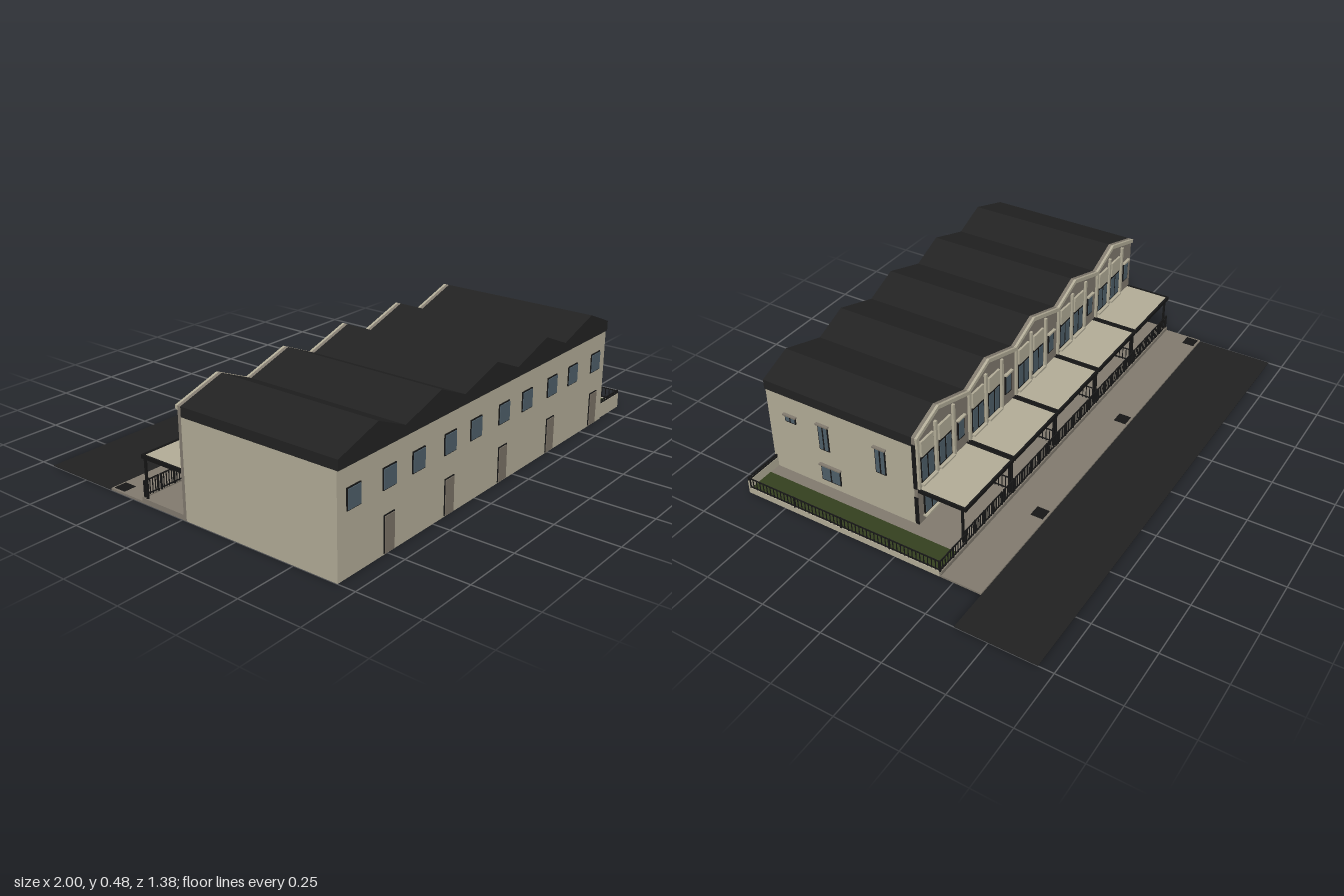
import * as THREE from 'three';

const mat = (name, color, side = THREE.FrontSide) => {
  const m = new THREE.MeshStandardMaterial({ color, side });
  m.name = name;
  return m;
};

export function createModel() {
  const model = new THREE.Group();
  model.name = 'terraceHouses';
  const wall = mat('beigeWall', 0xb3ad98);
  const dark = mat('darkRoof', 0x222222);
  const road = mat('asphalt', 0x212121, THREE.DoubleSide);
  const stone = mat('greyStone', 0x827b6f);
  const glass = mat('slateGlass', 0x4f606a);
  const black = mat('blackMetal', 0x161616);
  const grass = mat('grass', 0x35401f);
  const door = mat('doorBrown', 0x7a7266);

  // Box given by its limits on each axis
  const box = (name, m, x0, x1, y0, y1, z0, z1, parent = model) => {
    const mesh = new THREE.Mesh(new THREE.BoxGeometry(x1 - x0, y1 - y0, z1 - z0), m);
    mesh.position.set((x0 + x1) / 2, (y0 + y1) / 2, (z0 + z1) / 2);
    mesh.name = name;
    parent.add(mesh);
    return mesh;
  };
  const group = (name) => {
    const g = new THREE.Group();
    g.name = name;
    model.add(g);
    return g;
  };

  const UNITS = 5, W = 0.333, L = -1, R = 0.665;
  const unitX = (i) => L + i * W;

  // Zigzag roof line, with the ridge a little off the middle of each house
  const roofLine = [];
  for (let i = 0; i < UNITS; i++) {
    roofLine.push([unitX(i), 0.418], [unitX(i) + 0.193, 0.478]);
  }
  roofLine.push([R, 0.42]);
  const gableSlab = (name, m, lower, z0, z1) => {
    const pts = [...roofLine, ...lower].map(([x, y]) => new THREE.Vector2(x, y));
    const geo = new THREE.ExtrudeGeometry(new THREE.Shape(pts), { depth: z1 - z0, bevelEnabled: false });
    const mesh = new THREE.Mesh(geo, m);
    mesh.position.z = z0;
    mesh.name = name;
    model.add(mesh);
  };

  // Main volume and roof
  box('houseBody', wall, L, R, 0, 0.38, 0.02, 0.68);
  gableSlab('roof', dark, [[R, 0.38], [L, 0.38]], 0.02, 0.686);
  gableSlab('streetFacade', stone, [[R, 0.02], [L, 0.02]], 0.006, 0.02);
  gableSlab('gableTrim', wall, roofLine.map(([x, y]) => [x, y - 0.016]).reverse(), -0.004, 0.006);
  box('facadeEndPanel', black, R, R + 0.003, 0.19, 0.39, 0.004, 0.02);
  box('facadeEndPanelLower', black, R, R + 0.003, 0.025, 0.15, 0.004, 0.02);

  // Ground surfaces
  box('road', road, -1, 1, 0, 0.002, -0.69, -0.365);
  box('pavement', stone, -1, 0.83, 0, 0.008, -0.365, -0.2);
  box('terrace', stone, -1, 0.715, 0, 0.02, -0.2, 0.02);
  box('sidePath', stone, R, 0.715, 0, 0.02, 0.02, 0.67);
  box('lawn', grass, 0.715, 0.824, 0, 0.022, -0.19, 0.67);
  box('gardenKerb', wall, 0.824, 0.83, 0, 0.025, -0.2, 0.672);
  box('gardenEndWall', wall, R, 0.83, 0, 0.06, 0.667, 0.675);
  box('terraceKerb', stone, -1, 0.83, 0, 0.024, -0.2, -0.192);
  for (const x of [-0.965, -0.3, 0.37]) {
    box('treePit', black, x - 0.026, x + 0.026, -0.0005, 0.0095, -0.357, -0.305);
  }

  // Rear doors and square windows
  const rear = group('rearOpenings');
  for (let i = 0; i < UNITS; i++) {
    const x = -0.744 + i * W;
    box('rearDoorFrame', black, x - 0.027, x + 0.027, 0.005, 0.142, 0.678, 0.683, rear);
    box('rearDoor', door, x - 0.024, x + 0.024, 0.006, 0.138, 0.679, 0.686, rear);
    for (const wx of [x, -0.922 + i * W]) {
      box('rearWindowFrame', black, wx - 0.034, wx + 0.034, 0.23, 0.308, 0.678, 0.684, rear);
      box('rearWindow', glass, wx - 0.031, wx + 0.031, 0.234, 0.304, 0.679, 0.687, rear);
    }
  }

  // Garden-side windows: z centre, width, bottom, top, panes
  const side = group('sideWindows');
  for (const [z, w, y0, y1, n] of [
    [0.42, 0.046, 0.197, 0.312, 2], [0.162, 0.046, 0.197, 0.312, 2],
    [0.573, 0.05, 0.266, 0.296, 2], [0.402, 0.09, 0.05, 0.122, 2]]) {
    box('sideFrame', black, R - 0.002, R + 0.004, y0, y1, z - w / 2, z + w / 2, side);
    box('sideLintel', stone, R - 0.002, R + 0.012, y1, y1 + 0.006, z - w / 2 - 0.005, z + w / 2 + 0.005, side);
    const p = w / n;
    for (let k = 0; k < n; k++) {
      const a = z - w / 2 + k * p;
      box('sidePane', glass, R, R + 0.006, y0 + 0.005, y1 - 0.005, a + 0.004, a + p - 0.004, side);
    }
  }

  // Street window: dark frame, panes and optional pale panel above
  const street = group('streetOpenings');
  const streetWindow = (x, w, y0, y1, n) => {
    box('streetFrame', black, x - w / 2, x + w / 2, y0, y1, 0.001, 0.008, street);
    const p = w / n;
    for (let k = 0; k < n; k++) {
      const a = x - w / 2 + k * p;
      box('streetPane', glass, a + 0.005, a + p - 0.005, y0 + 0.006, y1 - 0.006, -0.001, 0.006, street);
    }
  };
  for (let i = 0; i < UNITS; i++) {
    const x = unitX(i);
    // Upper bays with pale panels and piers
    for (const bx of [x + 0.155, x + 0.268]) {
      streetWindow(bx, 0.082, 0.205, 0.315, 2);
      box('bayPanel', wall, bx - 0.038, bx + 0.038, 0.322, 0.388, -0.003, 0.008, street);
      box('baySill', wall, bx - 0.045, bx + 0.045, 0.196, 0.204, -0.012, 0.008, street);
    }
    for (const px of [x + 0.098, x + 0.2115, x + 0.325]) {
      box('bayPier', wall, px - 0.006, px + 0.006, 0.19, 0.42, -0.004, 0.008, street);
    }
    // Narrow window, ground-floor window and front door
    streetWindow(x + 0.05, 0.042, 0.235, 0.325, 1);
    box('narrowLintel', wall, x + 0.024, x + 0.076, 0.325, 0.332, -0.006, 0.008, street);
    streetWindow(x + 0.21, 0.18, 0.05, 0.15, 4);
    box('groundSill', wall, x + 0.115, x + 0.305, 0.042, 0.05, -0.01, 0.008, street);
    box('frontDoorFrame', black, x + 0.022, x + 0.078, 0.02, 0.152, 0.001, 0.008, street);
    box('frontDoor', door, x + 0.027, x + 0.073, 0.02, 0.147, -0.001, 0.006, street);
  }

  // Canopies on posts over the terrace
  const canopy = group('canopies');
  for (let i = 0; i < UNITS; i++) {
    const a = unitX(i) + 0.004, b = unitX(i) + W - 0.004;
    box('canopyPanel', wall, a + 0.008, b - 0.008, 0.172, 0.182, -0.188, 0.006, canopy);
    box('canopyFrontBeam', black, a, b, 0.17, 0.185, -0.197, -0.188, canopy);
    for (const e of [a, b - 0.008]) {
      box('canopySideBeam', black, e, e + 0.008, 0.17, 0.185, -0.188, 0.006, canopy);
      box('canopyPost', black, e, e + 0.008, 0.02, 0.17, -0.184, -0.176, canopy);
    }
  }

  // Railings between two points, with bars, rails and thicker posts
  const fence = (name, x0, z0, x1, z1, y0, y1, step, postEvery) => {
    const g = group(name);
    const len = Math.hypot(x1 - x0, z1 - z0);
    g.position.set(x0, 0, z0);
    g.rotation.y = Math.atan2(z0 - z1, x1 - x0);
    const n = Math.round(len / step);
    for (const y of [y0 + 0.002, y1 - 0.004]) box('rail', black, 0, len, y, y + 0.004, -0.002, 0.002, g);
    for (let k = 0; k <= n; k++) {
      const t = (len * k) / n, h = k % postEvery === 0 ? 0.003 : 0.0014;
      box('bar', black, t - h, t + h, y0 - 0.003, y1, -h, h, g);
    }
  };
  fence('gardenFence', 0.827, 0.668, 0.827, -0.192, 0.026, 0.072, 0.0165, 13);
  fence('gardenStreetFence', R, -0.195, 0.827, -0.195, 0.026, 0.072, 0.0165, 5);
  fence('gardenEndFence', R + 0.004, 0.671, 0.827, 0.671, 0.058, 0.075, 0.0165, 10);
  for (let i = 0; i < UNITS; i++) {
    // Gate gap beside each front door
    fence('terraceFence', unitX(i) + 0.085, -0.194, unitX(i) + W - 0.004, -0.194, 0.026, 0.085, 0.0125, 5);
    fence('terraceGate', unitX(i) + 0.008, -0.194, unitX(i) + 0.07, -0.194, 0.026, 0.085, 0.0125, 5);
    if (i > 0) fence('terraceDivider', unitX(i), -0.19, unitX(i), 0, 0.026, 0.085, 0.0165, 6);
  }

  return model;
}
